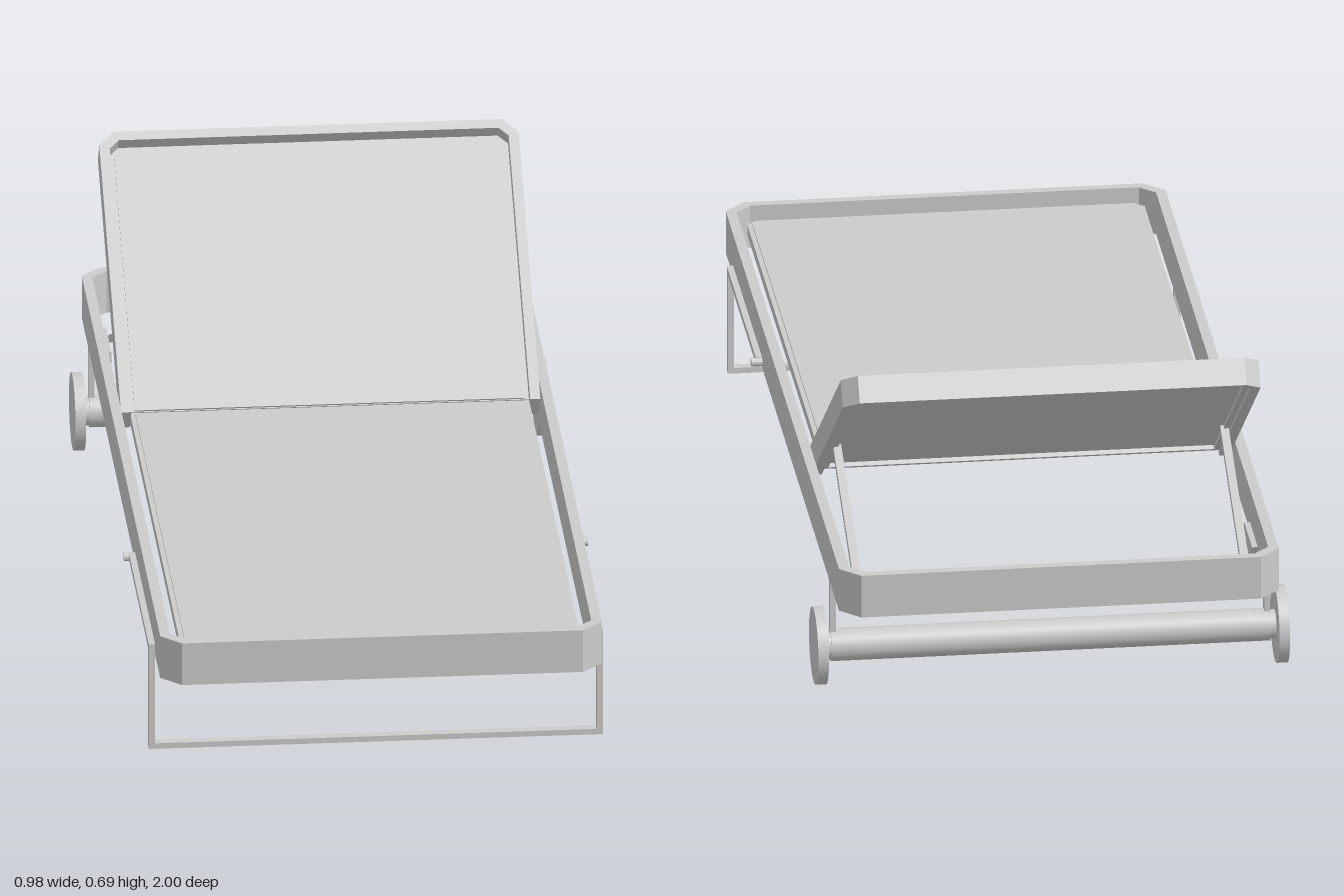
import * as THREE from 'three';

const material = new THREE.MeshStandardMaterial({ color: 0xcccccc, flatShading: true });
const smooth = new THREE.MeshStandardMaterial({ color: 0xcccccc });

function add(parent, name, geometry, mat = material) {
  const mesh = new THREE.Mesh(geometry, mat);
  mesh.name = name;
  parent.add(mesh);
  return mesh;
}

// box given by its min and max corners
function box(parent, name, [x0, y0, z0], [x1, y1, z1]) {
  const mesh = add(parent, name, new THREE.BoxGeometry(x1 - x0, y1 - y0, z1 - z0));
  mesh.position.set((x0 + x1) / 2, (y0 + y1) / 2, (z0 + z1) / 2);
  return mesh;
}

// cylinder lying along x
function rod(parent, name, radius, x0, x1, y, z, sides = 40) {
  const geometry = new THREE.CylinderGeometry(radius, radius, x1 - x0, sides).rotateZ(Math.PI / 2);
  const mesh = add(parent, name, geometry, sides > 20 ? smooth : material);
  mesh.position.set((x0 + x1) / 2, y, z);
  return mesh;
}

// rectangle with cut corners; c0 cuts the lower pair, c1 the upper pair
function cutRect(w, y0, y1, c0, c1) {
  return [
    [-w + c0, y0], [w - c0, y0], [w, y0 + c0], [w, y1 - c1],
    [w - c1, y1], [-w + c1, y1], [-w, y1 - c1], [-w, y0 + c0],
  ].map(([x, y]) => new THREE.Vector2(x, y));
}

function slab(outer, hole, z0, z1) {
  const shape = new THREE.Shape(outer);
  if (hole) shape.holes.push(new THREE.Path(hole));
  return new THREE.ExtrudeGeometry(shape, { depth: z1 - z0, bevelEnabled: false }).translate(0, 0, z0);
}

// U-shaped band: two sides joined at the top by cut corners
function uBand(w, y0, y1, cut, t, z0, z1) {
  const k = cut - t * 0.586;
  const points = [
    [w, y0], [w, y1 - cut], [w - cut, y1], [-w + cut, y1], [-w, y1 - cut], [-w, y0],
    [-w + t, y0], [-w + t, y1 - t - k], [-w + t + k, y1 - t],
    [w - t - k, y1 - t], [w - t, y1 - t - k], [w - t, y0],
  ].map(([x, y]) => new THREE.Vector2(x, y));
  return slab(points, null, z0, z1);
}

export function createModel() {
  const model = new THREE.Group();
  model.name = 'sunLounger';
  const flat = (geometry) => geometry.rotateX(-Math.PI / 2);

  // main frame
  add(model, 'mainFrame', flat(slab(
    cutRect(0.456, -1, 1, 0.042, 0.042), cutRect(0.435, -0.98, 0.98, 0.032, 0.032), 0.225, 0.318)));

  // seat: rim and inset panel
  add(model, 'seatRim', flat(slab(
    cutRect(0.412, -0.972, 0.298, 0.02, 0.001), cutRect(0.4, -0.96, 0.286, 0.016, 0.001), 0.265, 0.287)));
  add(model, 'seatPanel', flat(slab(cutRect(0.402, -0.962, 0.288, 0.016, 0.001), null, 0.275, 0.291)));

  // reclined backrest: local y runs up the slope, z is its upper face
  const back = new THREE.Group();
  back.name = 'backrest';
  back.position.set(0, 0.301, -0.27);
  back.rotation.x = -THREE.MathUtils.degToRad(55);
  model.add(back);
  add(back, 'backrestFrame', uBand(0.433, 0, 0.682, 0.032, 0.021, -0.058, 0));
  add(back, 'backrestRim', slab(
    cutRect(0.412, 0.018, 0.661, 0.001, 0.02), cutRect(0.4, 0.03, 0.649, 0.001, 0.016), -0.05, -0.03));
  add(back, 'backrestPanel', slab(cutRect(0.402, 0.02, 0.651, 0.001, 0.016), null, -0.041, -0.026));

  // prop that holds the backrest up, its crossbar resting below the frame
  const prop = new THREE.Group();
  prop.name = 'backrestProp';
  prop.position.set(0, 0.388, -0.475);
  prop.rotation.x = -Math.PI / 2 - Math.atan2(0.18, 0.405);
  model.add(prop);
  add(prop, 'propBar', uBand(0.41, 0, 0.443, 0.025, 0.017, -0.008, 0.008));

  for (const s of [-1, 1]) {
    // notched rack for the prop
    const rack = new THREE.Shape();
    rack.moveTo(0.68, 0.262);
    rack.lineTo(0.68, 0.245);
    for (let i = 0; i < 4; i++) {
      const z = 0.69 + i * 0.03, y = 0.232 - i * 0.006;
      rack.lineTo(z, y);
      rack.lineTo(z + 0.012, y - 0.012);
      rack.lineTo(z + 0.018, y - 0.008);
      rack.lineTo(z + 0.014, y + 0.012);
    }
    rack.lineTo(0.815, 0.262);
    const rackGeometry = new THREE.ExtrudeGeometry(rack, { depth: 0.012, bevelEnabled: false });
    rackGeometry.rotateY(Math.PI / 2).translate(s * 0.424 - 0.006, 0, 0);
    add(model, 'propRack', rackGeometry);

    // wheel, hub and post
    const span = (a, b) => (s > 0 ? [a, b] : [-b, -a]);
    rod(model, 'wheel', 0.081, ...span(0.467, 0.489), 0.083, -0.8);
    rod(model, 'wheelHub', 0.03, ...span(0.45, 0.468), 0.083, -0.8);
    const [p0, p1] = span(0.444, 0.456);
    box(model, 'wheelPost', [p0, 0.083, -0.81], [p1, 0.228, -0.79]);

    // folding front leg: upright, arm along the frame and pivot
    const [l0, l1] = span(0.456, 0.469);
    box(model, 'frontLeg', [l0, 0.015, 0.815], [l1, 0.248, 0.835]);
    box(model, 'frontLegArm', [l0, 0.234, 0.345], [l1, 0.248, 0.815]);
    rod(model, 'frontLegPivot', 0.009, ...span(0.45, 0.479), 0.238, 0.343, 16);
  }

  box(model, 'frontLegFoot', [-0.456, 0.015, 0.815], [0.456, 0.027, 0.835]);
  rod(model, 'axle', 0.034, -0.455, 0.455, 0.083, -0.8);
  return model;
}
